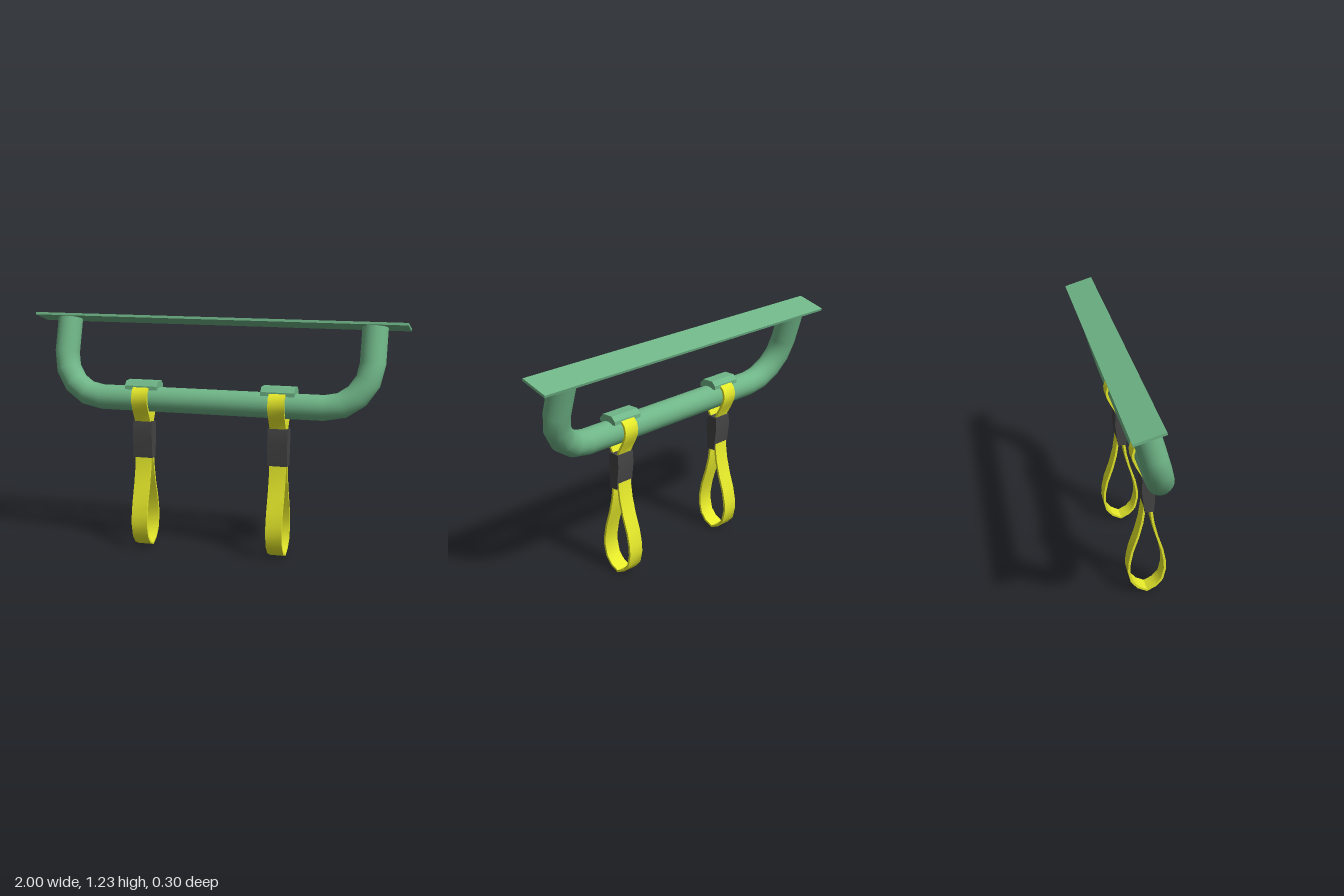
import * as THREE from 'three';
import { toCreasedNormals } from 'three/addons/utils/BufferGeometryUtils.js';

const green = new THREE.MeshStandardMaterial({ color: 0x6fb587 });
const yellow = new THREE.MeshStandardMaterial({ color: 0xe6ea2a });
const dark = new THREE.MeshStandardMaterial({ color: 0x444444 });

const TILT = THREE.MathUtils.degToRad(16.7);
const BAR_Y = 0.797, BAR_Z = 0.05, TUBE_R = 0.066;

function part(name, geometry, material) {
  const mesh = new THREE.Mesh(geometry, material);
  mesh.name = name;
  return mesh;
}

// Planar U path whose rings sit exactly at the ends and on the coarse bends
class HandlePath extends THREE.Curve {
  constructor() {
    super();
    const half = 0.828, rx = 0.228, ry = 0.235, top = 0.425, steps = 4;
    this.rings = [];
    for (const side of [-1, 1]) {
      const run = [[new THREE.Vector3(side * half, top, 0), new THREE.Vector3(0, side, 0)]];
      for (let i = 0; i <= steps; i++) {
        const a = (i / steps) * Math.PI / 2;
        run.push([
          new THREE.Vector3(side * (half - rx + rx * Math.cos(a)), ry - ry * Math.sin(a), 0),
          new THREE.Vector3(Math.sin(a), side * Math.cos(a), 0).normalize(),
        ]);
      }
      this.rings.push(...(side < 0 ? run : run.reverse()));
    }
  }
  ring(u) { return this.rings[Math.round(u * (this.rings.length - 1))]; }
  getPointAt(u) { return this.ring(u)[0].clone(); }
  getTangentAt(u) { return this.ring(u)[1].clone(); }
}

// Extrudes a (z, y) profile along x, centred on x = 0
function sideExtrude(shape, width, crease = 0.75) {
  const g = new THREE.ExtrudeGeometry(shape, { depth: width, bevelEnabled: false });
  g.translate(0, 0, -width / 2);
  g.rotateY(-Math.PI / 2);
  return toCreasedNormals(g, crease);
}

// Closed band of constant thickness from half an outline, mirrored about z = 0
function bandShape(half, thickness) {
  const pts = half.map(([z, y]) => new THREE.Vector2(z, y));
  for (let i = half.length - 1; i >= 0; i--) {
    if (half[i][0] > 0) pts.push(new THREE.Vector2(-half[i][0], half[i][1]));
  }
  const n = pts.length;
  const inner = pts.map((p, i) => {
    const t = pts[(i + 1) % n].clone().sub(pts[(i + n - 1) % n]).normalize();
    return new THREE.Vector2(p.x - t.y * thickness, p.y + t.x * thickness);
  });
  const shape = new THREE.Shape(pts);
  shape.holes.push(new THREE.Path(inner));
  return shape;
}

const polygon = (list) => new THREE.Shape(list.map(([z, y]) => new THREE.Vector2(z, y)));

function createStrap() {
  const strap = new THREE.Group();
  strap.name = 'strap';

  // Hanging hand loop, bottom to top
  const handLoop = bandShape([
    [0, 0.0], [0.05, 0.024], [0.085, 0.065], [0.1, 0.13], [0.098, 0.18], [0.084, 0.25],
    [0.054, 0.34], [0.034, 0.42], [0.023, 0.5], [0.02, 0.57],
  ], 0.012);
  strap.add(part('handLoop', sideExtrude(handLoop, 0.086), yellow));

  // Loop around the bar, bottom to top
  const barLoop = bandShape([
    [0.016, 0.63], [0.022, 0.67], [0.062, 0.74], [0.08, 0.78], [0.083, 0.81],
    [0.074, 0.843], [0.05, 0.868], [0.02, 0.879], [0, 0.881],
  ], 0.012);
  strap.add(part('barLoop', sideExtrude(barLoop, 0.086), yellow));

  // Sleeve gathering both loops
  const sleeve = polygon([
    [-0.018, 0.485], [0.03, 0.485], [0.036, 0.6], [0.034, 0.65], [0.029, 0.68],
    [-0.031, 0.675], [-0.034, 0.61],
  ]);
  strap.add(part('sleeve', sideExtrude(sleeve, 0.105, 0.3), dark));

  // Cap resting on top of the bar
  const cap = polygon([
    [-0.053, 0.852], [0.053, 0.852], [0.053, 0.872], [0.03, 0.895], [-0.03, 0.895], [-0.053, 0.872],
  ]);
  strap.add(part('cap', sideExtrude(cap, 0.175, 0.3), green));
  return strap;
}

export function createModel() {
  const model = new THREE.Group();
  model.name = 'hangingHandle';

  // Leaning handle and its mounting plate
  const frame = new THREE.Group();
  frame.name = 'frame';
  frame.position.set(0, BAR_Y, BAR_Z);
  frame.rotation.x = -TILT;
  const path = new HandlePath();
  frame.add(part('handleTube', new THREE.TubeGeometry(path, path.rings.length - 1, TUBE_R, 24), green));
  const plate = part('mountingPlate', new THREE.BoxGeometry(2, 0.013, 0.158), green);
  plate.position.y = 0.425;
  frame.add(plate);
  model.add(frame);

  // Pair of straps
  for (const side of [-1, 1]) {
    const strap = createStrap();
    strap.name = side > 0 ? 'leftStrap' : 'rightStrap';
    strap.position.set(side * 0.366, 0, BAR_Z);
    model.add(strap);
  }
  return model;
}
